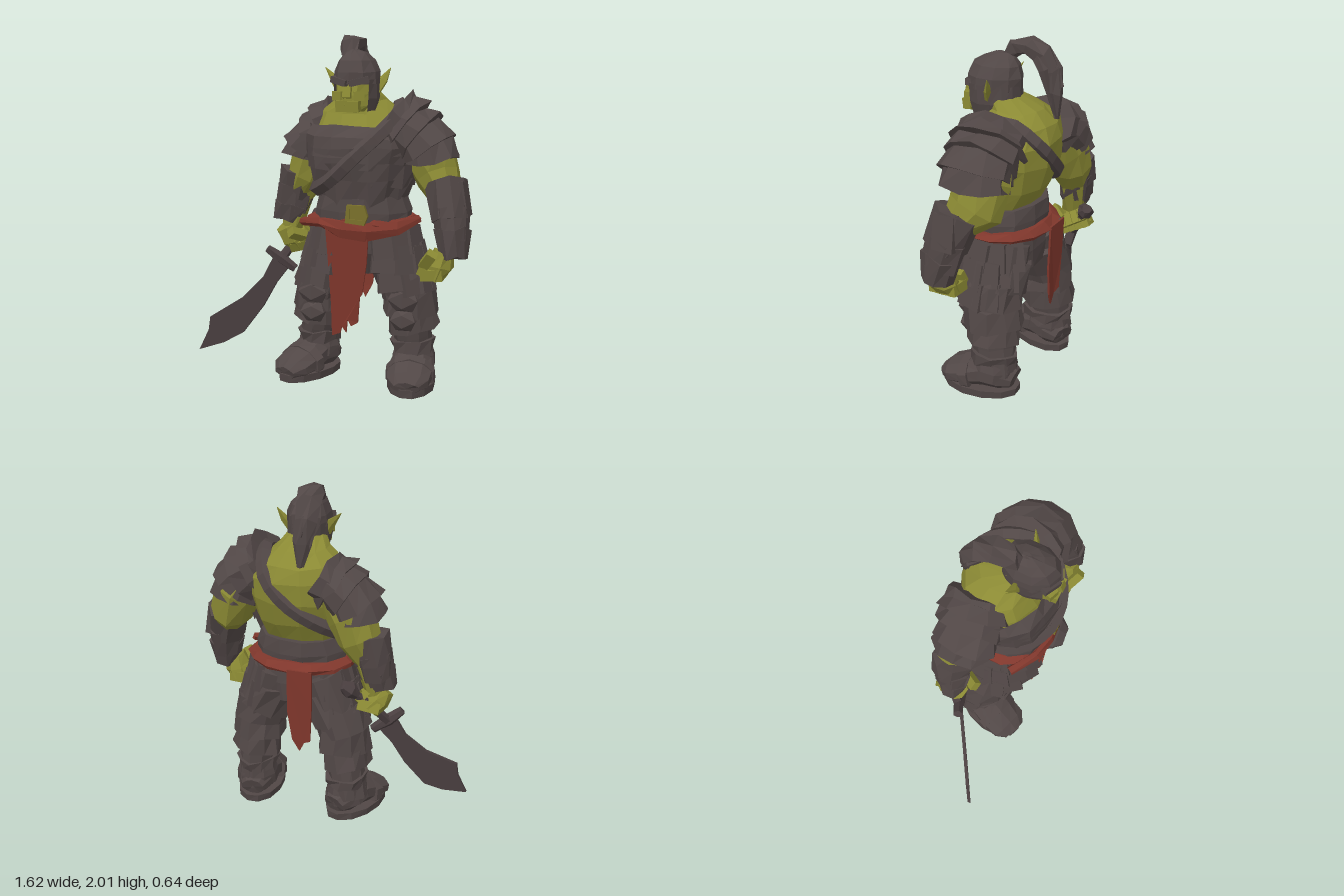
import * as THREE from 'three';

const PI = Math.PI;
const V = (p) => new THREE.Vector3(p[0], p[1], p[2]);
const paint = (name, color) => Object.assign(
  new THREE.MeshStandardMaterial({ color, flatShading: true, side: THREE.DoubleSide }), { name });

export function createModel() {
  const armor = paint('dark leather', 0x514746);
  const steel = paint('dark steel', 0x4a3f40);
  const skin = paint('green skin', 0x8b8a34);
  const cloth = paint('red cloth', 0x80372c);
  const brass = paint('dull brass', 0x7a702b);
  const model = new THREE.Group();
  model.name = 'armouredWarrior';
  let seed = 7;
  const rnd = () => ((seed = (seed * 16807) % 2147483647) / 2147483647) * 2 - 1;

  function add(name, geo, mat, parent = model) {
    const g = geo.index ? geo.toNonIndexed() : geo;
    g.computeVertexNormals();
    const mesh = new THREE.Mesh(g, mat);
    mesh.name = name;
    parent.add(mesh);
    return mesh;
  }

  // Skin through elliptical sections [x, y, z, ra, rb], square to their path or kept level
  function loft(name, mat, secs, o = {}) {
    const { n = 9, ref = [1, 0, 0], arc = null, jit = 0.007, parent = model, level = false } = o;
    const pos = [], idx = [], cols = arc ? n + 1 : n;
    const C = secs.map(V);
    secs.forEach((s, i) => {
      const t = level ? V([0, 1, 0])
        : C[Math.min(i + 1, C.length - 1)].clone().sub(C[Math.max(i - 1, 0)]).normalize();
      const a = V(ref);
      a.addScaledVector(t, -a.dot(t)).normalize();
      const b = a.clone().cross(t);
      for (let j = 0; j < cols; j++) {
        const q = arc ? arc[0] + (arc[1] - arc[0]) * j / n : (j + 0.5) / n * 2 * PI;
        const p = C[i].clone().addScaledVector(a, Math.cos(q) * s[3]).addScaledVector(b, Math.sin(q) * (s[4] ?? s[3]));
        pos.push(p.x + rnd() * jit, p.y + rnd() * jit, p.z + rnd() * jit);
      }
    });
    for (let i = 0; i < secs.length - 1; i++) for (let j = 0; j < n; j++) {
      const k = (j + 1) % cols, u = i * cols, w = u + cols;
      idx.push(u + j, w + j, u + k, u + k, w + j, w + k);
    }
    if (!arc) [0, secs.length - 1].forEach((i) => {
      const m = pos.length / 3;
      pos.push(C[i].x, C[i].y, C[i].z);
      for (let j = 0; j < n; j++) {
        const k = (j + 1) % n, u = i * n;
        idx.push(m, u + (i ? k : j), u + (i ? j : k));
      }
    });
    const g = new THREE.BufferGeometry();
    g.setAttribute('position', new THREE.Float32BufferAttribute(pos, 3));
    g.setIndex(idx);
    return add(name, g, mat, parent);
  }
  const bands = (name, mat, list, o) => list.forEach((b) => loft(name, mat, b, o));

  function box(name, mat, size, p, r = [0, 0, 0], parent = model) {
    const m = add(name, new THREE.BoxGeometry(...size), mat, parent);
    m.position.set(...p);
    m.rotation.set(r[0], r[1], r[2], 'YXZ');
    return m;
  }
  function sheet(name, mat, pts, depth, zRule, holes = []) {
    const s = new THREE.Shape(pts.map((p) => new THREE.Vector2(...p)));
    holes.forEach((h) => s.holes.push(new THREE.Path(h.map((p) => new THREE.Vector2(...p)))));
    const g = new THREE.ExtrudeGeometry(s, { depth, bevelEnabled: false });
    const a = g.attributes.position;
    for (let i = 0; i < a.count; i++) a.setZ(i, a.getZ(i) - depth / 2 + zRule(a.getX(i), a.getY(i)));
    return add(name, g, mat);
  }

  // Bare torso and layered breastplate
  loft('torso', skin, [[.18, .93, .04, .26, .19], [.18, 1.1, .04, .23, .18], [.18, 1.22, .01, .265, .225],
    [.17, 1.36, -.01, .31, .245], [.17, 1.48, -.03, .31, .235], [.16, 1.57, -.04, .25, .2],
    [.16, 1.64, -.01, .15, .15], [.16, 1.7, .07, .1, .1]], { n: 12, level: true });
  const front = { n: 10, arc: [-.25, PI + .25], jit: .012, level: true };
  bands('breastplate', armor, [
    [[.18, 1.07, .04, .25, .23], [.18, 1.21, .04, .285, .25]],
    [[.18, 1.17, .03, .28, .25], [.17, 1.3, .02, .325, .28]],
    [[.17, 1.26, .03, .31, .265], [.17, 1.39, .01, .335, .285]],
    [[.17, 1.34, .02, .335, .275], [.17, 1.44, .01, .345, .265], [.17, 1.5, -.01, .32, .225]],
  ], front);
  const strap = new THREE.CatmullRomCurve3([[.4, 1.57, .1], [.33, 1.47, .22], [.2, 1.34, .29], [.06, 1.21, .26],
    [-.07, 1.14, .13], [-.1, 1.16, -.04], [.02, 1.25, -.18], [.18, 1.37, -.24], [.3, 1.5, -.22], [.36, 1.61, -.08]].map(V), true);
  add('shoulderStrap', new THREE.TubeGeometry(strap, 26, .045, 5, true), armor);

  // Belt, buckle and sash
  loft('belt', armor, [[.18, .97, .05, .28, .235], [.18, 1.03, .05, .28, .24], [.18, 1.115, .05, .255, .23]], { n: 12 });
  sheet('buckle', brass, [[.15, .98], [.26, .97], [.28, 1.02], [.26, 1.08], [.16, 1.08]], .024, () => .288,
    [[[.175, 1.0], [.175, 1.06], [.245, 1.06], [.25, 1.0]]]);
  box('bucklePlate', brass, [.08, .07, .008], [.212, 1.03, .286]);
  loft('sash', cloth, [[.17, .94, .025, .315, .25], [.18, .965, .025, .325, .265], [.19, 1.0, .035, .29, .24]], { n: 14, jit: .008, level: true });
  loft('sashKnot', cloth, [[-.15, .945, .15, .025], [.0, .965, .25, .03], [.12, .94, .27, .055, .03], [.26, .93, .26, .055, .03],
    [.42, .955, .2, .045, .03], [.52, .995, .1, .02]], { n: 6, ref: [0, 1, 0] });
  sheet('frontLoincloth', cloth, [[.03, .95], [.28, .94], [.265, .75], [.235, .57], [.22, .55], [.205, .4], [.17, .38], [.15, .42],
    [.14, .34], [.11, .37], [.1, .33], [.05, .31], [.05, .5], [.04, .75]], .012,
    (x, y) => .215 + (y - .3) * .095 + (x > .12 && x < .2 ? .015 : 0));
  sheet('backLoincloth', cloth, [[.03, .97], [.18, .97], [.185, .7], [.16, .52], [.12, .44], [.09, .5], [.05, .52], [.035, .75]],
    .012, (x, y) => -.215 - (y - .44) * .04 + (x > .08 && x < .14 ? .01 : 0));

  // Head, open-faced helmet, ears and topknot
  const head = new THREE.Group();
  head.name = 'head';
  model.add(head);
  const H = { parent: head, level: true };
  loft('face', skin, [[.16, 1.585, .2, .07, .08], [.16, 1.62, .185, .095, .115], [.16, 1.68, .165, .1, .13], [.16, 1.75, .15, .1, .12]], H);
  box('jaw', skin, [.13, .06, .06], [.16, 1.62, .268], [.12, 0, 0], head);
  box('nose', skin, [.045, .06, .04], [.16, 1.69, .285], [-.25, 0, 0], head);
  for (const s of [-1, 1]) {
    box('cheek', skin, [.06, .05, .05], [.16 + s * .055, 1.672, .258], [0, s * .4, 0], head);
    box('helmetBrow', armor, [.11, .035, .05], [.16 + s * .05, 1.75, .25], [0, s * .45, s * .22], head);
    loft('ear', skin, [[.165 + s * .1, 1.7, .1, .035, .016], [.165 + s * .14, 1.755, .085, .028, .013], [.15 + s * .19, 1.82, .065, .002]],
      { n: 5, jit: 0, parent: head });
  }
  loft('helmetCrown', armor, [[.165, 1.735, .125, .128, .162], [.165, 1.8, .12, .122, .162], [.16, 1.86, .112, .098, .138],
    [.15, 1.9, .1, .062, .095], [.14, 1.92, .09, .02, .04]], { n: 10, jit: .004, ...H });
  loft('helmetGuard', armor, [[.165, 1.59, .13, .108, .135], [.165, 1.66, .125, .125, .162], [.165, 1.76, .125, .128, .162]],
    { n: 10, arc: [PI * .79, PI * 2.21], jit: .004, ...H });
  loft('topknot', armor, [[.11, 1.88, .07, .035], [.09, 1.945, .03, .05], [.085, 1.965, -.05, .075, .04], [.08, 1.925, -.13, .065, .055],
    [.08, 1.84, -.18, .06, .05], [.09, 1.72, -.2, .05, .045], [.09, 1.59, -.22, .008]], { n: 7, jit: .014, parent: head });
  for (const [dx, dz, tip] of [[-.04, 0, 1.7], [.04, .01, 1.66], [0, -.03, 1.76]]) {
    loft('hairStrand', armor, [[.08 + dx * .6, 1.94, -.09, .035], [.08 + dx * 1.3, 1.85, -.17 + dz, .03],
      [.085 + dx, tip, -.215 + dz, .004]], { n: 5, parent: head });
  }

  // Layered pauldrons, laid out for the left and mirrored across the chest
  for (const s of [1, -1]) {
    const z = s > 0 ? .01 : -.1, k = s > 0 ? 1 : .88;
    const S = (x, y, r, w) => [s > 0 ? x : .35 - x, y - (s > 0 ? 0 : .015), z, w * k, r * k];
    bands(s > 0 ? 'leftPauldron' : 'rightPauldron', armor, [
      [S(.35, 1.54, .18, .2), S(.42, 1.5, .15, .2)],
      [S(.37, 1.54, .14, .18), S(.44, 1.49, .19, .235)],
      [S(.42, 1.49, .15, .2), S(.51, 1.43, .185, .23)],
      [S(.48, 1.47, .14, .18), S(.55, 1.365, .175, .22)],
      [S(.545, 1.43, .13, .17), S(.57, 1.31, .155, .205)],
    ], { n: 10, ref: [0, 0, 1], jit: .014 });
  }

  // Arms and three-layer bracers
  loft('leftArm', skin, [[.45, 1.48, -.01, .13], [.55, 1.34, -.03, .14, .165], [.6, 1.21, -.02, .125, .155],
    [.665, 1.09, .07, .08], [.715, .84, .15, .06]]);
  bands('leftBracer', armor, [
    [[.73, .79, .16, .07, .095], [.715, .95, .13, .095, .115]],
    [[.72, .88, .14, .085, .115], [.7, 1.05, .1, .105, .125]],
    [[.7, .99, .11, .105, .125], [.66, 1.2, .05, .125, .135]]], { n: 8, jit: .012 });
  box('leftElbowGuard', armor, [.07, .2, .13], [.75, 1.11, .07], [0, 0, .16]);
  loft('rightArm', skin, [[-.07, 1.45, -.1, .13], [-.175, 1.31, -.13, .14, .14], [-.225, 1.18, -.14, .125, .13],
    [-.28, 1.06, -.14, .085], [-.32, .86, -.13, .065]]);
  bands('rightBracer', armor, [
    [[-.345, .9, -.12, .08, .085], [-.32, 1.0, -.13, .1, .1]],
    [[-.325, .96, -.13, .1, .095], [-.295, 1.11, -.14, .115, .11]],
    [[-.305, 1.05, -.14, .11, .105], [-.265, 1.21, -.14, .12, .125]]], { n: 8, jit: .012 });

  // Fists with curled fingers
  function fist(name, p, rot, s) {
    const g = new THREE.Group();
    g.name = name;
    loft('palm', skin, [[0, -.06, 0, .05, .075], [s * .015, 0, 0, .065, .08], [s * .015, .07, -.01, .055, .06]], { n: 7, parent: g });
    for (let i = 0; i < 4; i++) {
      box('knuckle', skin, [.11, .055, .037], [-s * .01, -.05 + i * .003, -.057 + i * .038], [0, 0, s * .25], g);
      box('fingertip', skin, [.035, .07, .035], [-s * .06, -.02, -.057 + i * .038], [0, 0, -s * .2], g);
    }
    box('thumb', skin, [.05, .1, .045], [-s * .04, .035, .07], [.4, 0, -s * .4], g);
    g.position.set(...p);
    g.rotation.set(...rot);
    g.scale.setScalar(1.12);
    model.add(g);
  }
  fist('leftHand', [.645, .755, .165], [.1, 0, -.2], 1);
  fist('rightHand', [-.31, .815, -.135], [.5, .3, .35], -1);

  // Curved broad sword
  const lean = (x) => -.07 - .558 * (x + .38);
  sheet('swordBlade', steel, [[-.41, .69], [-.47, .56], [-.58, .44], [-.75, .33], [-.76, .25], [-.81, .13], [-.68, .165],
    [-.58, .22], [-.47, .38], [-.4, .52], [-.33, .62]], .022, lean);
  loft('swordGuard', steel, [[-.455, .73, -.05, .025], [-.38, .67, -.08, .035], [-.295, .605, -.1, .025]], { n: 6, ref: [0, 0, 1], jit: .003 });
  loft('swordGrip', steel, [[-.38, .66, -.08, .03], [-.31, .78, -.16, .026], [-.22, .89, -.24, .026]], { n: 6, jit: .002 });
  loft('swordPommel', steel, [[-.23, .88, -.23, .03], [-.2, .92, -.26, .05], [-.17, .95, -.285, .03]], { n: 7, jit: .004 });

  // Hips and three rows of hanging skirt plates
  loft('hips', armor, [[.18, .7, 0, .23, .16], [.18, .82, .02, .28, .2], [.18, .95, .03, .27, .2]], { n: 12 });
  for (const s of [1, -1]) for (const [row, y, rx, rz, count] of [[0, .865, .305, .215, 5], [1, .765, .345, .22, 5], [2, .66, .375, .22, 4]]) {
    for (let i = 0; i < count; i++) {
      const q = .98 - i * .42 + (row % 2) * .06;
      const m = box('skirtPlate', armor, [.16, .16, .035],
        [.18 + s * Math.cos(q) * rx, y + rnd() * .015, .02 + Math.sin(q) * rz],
        [-.25, s * (PI / 2 - q) * .95, rnd() * .1]);
      const a = m.geometry.attributes.position;
      for (let v = 0; v < a.count; v++) if (a.getY(v) > 0) a.setX(v, a.getX(v) * .85);
    }
  }

  // Legs, layered greaves, knee caps and boots
  for (const s of [1, -1]) {
    const side = s > 0 ? 'left' : 'right', z = s > 0 ? 0 : -.03;
    const X = s > 0 ? [.33, .41, .445, .46, .475] : [.03, -.06, -.105, -.125, -.16];
    const L = (i, y, dz, rx, rz) => [X[i], y, z + dz, rx, rz];
    loft(side + 'Leg', armor, [L(4, .12, -.06, .1, .11), L(3, .3, -.03, .105, .13), L(2, .48, -.01, .125, .15),
      L(1, .65, 0, .145, .18), L(0, .9, .0, .15, .18)], { n: 10 });
    bands(side + 'Greave', armor, [
      [L(1, .63, 0, .165, .195), L(0, .8, .0, .16, .185)],
      [L(2, .54, -.01, .155, .18), L(1, .68, 0, .15, .18)],
      [L(2, .43, -.02, .16, .175), L(2, .57, -.01, .14, .165)],
      [L(3, .33, -.03, .15, .16), L(2, .47, -.02, .13, .15)],
      [L(3, .205, -.03, .115, .145), L(3, .27, -.03, .125, .15)],
    ], { n: 10, jit: .014 });
    for (const [y, r] of [[.53, .1], [.41, .085]]) {
      const cap = add(side + 'KneeCap', new THREE.IcosahedronGeometry(1, 0), armor);
      cap.scale.set(r, r * .85, .055);
      cap.position.set(X[2], y, z + .13);
    }
    const boot = new THREE.Group();
    boot.name = side + 'Boot';
    boot.position.set(X[4], 0, z + .05);
    boot.rotation.y = s > 0 ? .12 : -.36;
    model.add(boot);
    const B = { parent: boot, n: 10, jit: .004 };
    loft('sole', armor, [[0, .004, 0, .135, .235], [0, .05, 0, .14, .24]], { ...B, n: 12, jit: .002 });
    loft('upper', armor, [[0, .1, -.215, .07, .06], [0, .12, -.15, .11, .09], [0, .135, -.03, .12, .105], [0, .1, .08, .135, .085],
      [0, .08, .17, .125, .065], [0, .06, .225, .075, .035]], B);
    loft('ankleCuff', armor, [[0, .11, -.08, .13, .14], [0, .17, -.09, .125, .135], [0, .22, -.09, .11, .125]], B);
    loft('instepStrap', armor, [[0, .1, .03, .145, .11], [0, .09, .085, .145, .1]], B);
  }
  return model;
}
